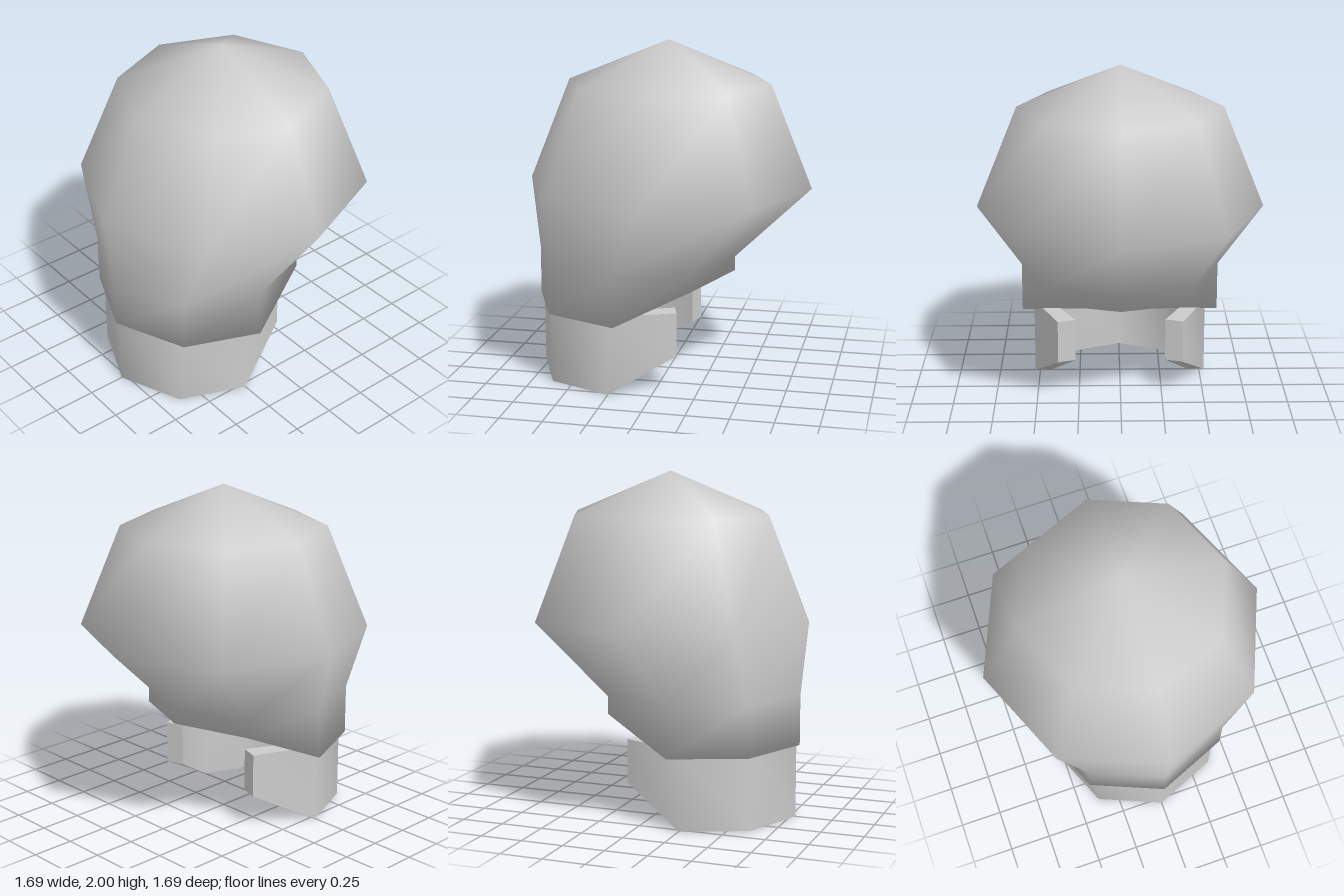
import * as THREE from 'three';
import { mergeVertices, toCreasedNormals } from 'three/addons/utils/BufferGeometryUtils.js';

const material = new THREE.MeshStandardMaterial({ color: 0xcccccc });

// Skins a stack of closed rings of equal point count, dropping collapsed triangles.
function loft(rings) {
  const points = [];
  const add = (a, b, c) => {
    if (a.distanceTo(b) > 1e-6 && b.distanceTo(c) > 1e-6 && c.distanceTo(a) > 1e-6) points.push(a, b, c);
  };
  for (let i = 0; i < rings.length - 1; i++) {
    const n = rings[i].length;
    for (let k = 0; k < n; k++) {
      const m = (k + 1) % n;
      add(rings[i][k], rings[i][m], rings[i + 1][m]);
      add(rings[i][k], rings[i + 1][m], rings[i + 1][k]);
    }
  }
  return new THREE.BufferGeometry().setFromPoints(points);
}

// Point on an eight-sided ring; k = 0 is the front, k = 2 is +x.
function ringPoint(k, radius, y, z) {
  const a = k * Math.PI / 4;
  return new THREE.Vector3(radius * Math.sin(a), y, z + radius * Math.cos(a));
}

function ring(radius, y, z) {
  return Array.from({ length: 8 }, (_, k) => ringPoint(k, radius, Array.isArray(y) ? y[k] : y, z));
}

// Ball-shaped cranium narrowing to a jaw that sits forward and lifts at the back
function createHead() {
  const jawHeights = [0.43, 0.43, 0.43, 0.62, 0.64, 0.62, 0.43, 0.43];
  const geometry = mergeVertices(loft([
    ring(0, 0.43, 0.2),
    ring(0.6, jawHeights, 0.2),
    ring(0.6, 0.725, 0.2),
    ring(0.845, 1.155, 0),
    ring(0.6, 1.755, 0),
    ring(0, 2, 0),
  ]), 1e-4);
  geometry.computeVertexNormals();
  const head = new THREE.Mesh(geometry, material);
  head.name = 'head';
  return head;
}

// Thick collar around the front and sides, open at the back with raised ends
function createCollar() {
  const sections = [];
  for (let k = -3; k <= 3; k++) {
    const isEnd = Math.abs(k) === 3;
    const bottom = isEnd ? 0.21 : 0;
    const outer = ringPoint(k, 0.53, 0, 0.25);
    const inner = isEnd ? new THREE.Vector3(Math.sign(k) * 0.27, 0, -0.09) : ringPoint(k, 0.43, 0, 0.25);
    sections.push([[outer, 0.47], [outer, bottom], [inner, bottom], [inner, 0.47]]
      .map(([p, y]) => new THREE.Vector3(p.x, y, p.z)));
  }
  // Close both ends
  const cap = (section) => section.map(() => section[0].clone());
  const geometry = loft([cap(sections[0]), ...sections, cap(sections[6])]);
  const collar = new THREE.Mesh(toCreasedNormals(geometry, Math.PI / 3), material);
  collar.name = 'collar';
  return collar;
}

export function createModel() {
  const model = new THREE.Group();
  model.name = 'headWithCollar';
  model.add(createHead(), createCollar());
  return model;
}
